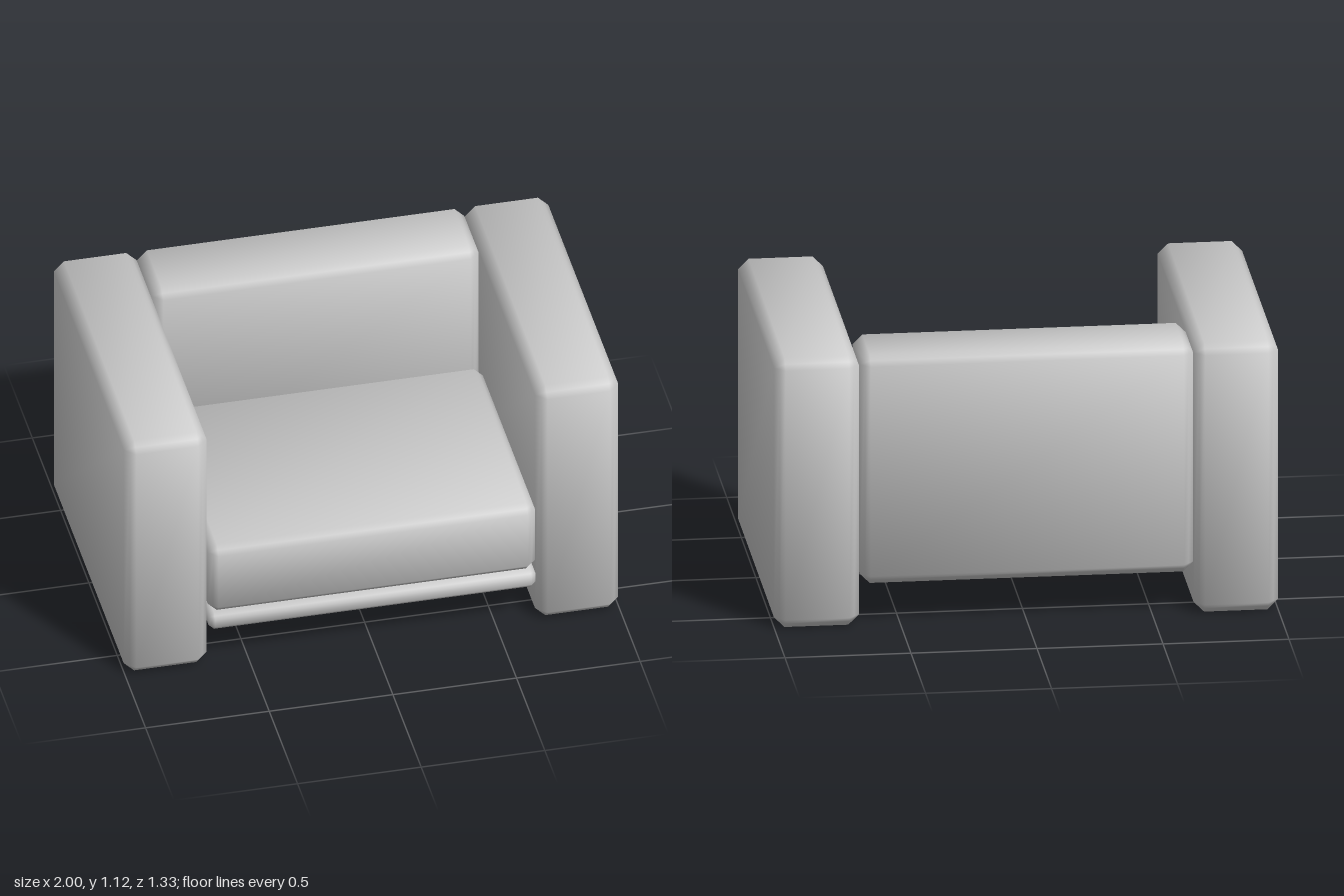
import * as THREE from 'three';

// Box with a single flat bevel on every edge and soft shading across it.
function bevelledBox(w, h, d, bevel) {
  const geo = new THREE.BoxGeometry(1, 1, 1, 3, 3, 3);
  const half = [w / 2, h / 2, d / 2];
  const pos = geo.attributes.position;
  const nor = geo.attributes.normal;
  for (let i = 0; i < pos.count; i++) {
    const p = [pos.getX(i), pos.getY(i), pos.getZ(i)];
    const outer = p.map((v) => Math.abs(v) > 0.49);
    const n = outer.filter(Boolean).length; // 1 = face, 2 = edge, 3 = corner
    const q = p.map((v, k) =>
      Math.sign(v) * (half[k] - (outer[k] ? bevel * (n - 1) / n : bevel)));
    const m = new THREE.Vector3(...p.map((v, k) =>
      Math.sign(v) * (outer[k] ? 1 : 0.38))).normalize();
    pos.setXYZ(i, ...q);
    nor.setXYZ(i, m.x, m.y, m.z);
  }
  return geo;
}

export function createModel() {
  const chair = new THREE.Group();
  chair.name = 'armchair';
  const material = new THREE.MeshStandardMaterial({ color: 0xcccccc });

  // Places a block from its lower and upper corner.
  const addBlock = (name, [x0, y0, z0], [x1, y1, z1], bevel) => {
    const mesh = new THREE.Mesh(bevelledBox(x1 - x0, y1 - y0, z1 - z0, bevel), material);
    mesh.name = name;
    mesh.position.set((x0 + x1) / 2, (y0 + y1) / 2, (z0 + z1) / 2);
    chair.add(mesh);
  };

  // Arms reach the floor and carry the seat between them
  addBlock('leftArm', [0.663, 0, -0.663], [1, 1.12, 0.655], 0.042);
  addBlock('rightArm', [-1, 0, -0.663], [-0.665, 1.12, 0.655], 0.042);

  // Backrest, seat base and seat cushion
  addBlock('backrest', [-0.663, 0.17, -0.66], [0.66, 1.12, -0.33], 0.04);
  addBlock('seatBase', [-0.663, 0.17, -0.33], [0.66, 0.25, 0.662], 0.022);
  addBlock('seatCushion', [-0.663, 0.25, -0.33], [0.66, 0.57, 0.662], 0.036);

  return chair;
}
